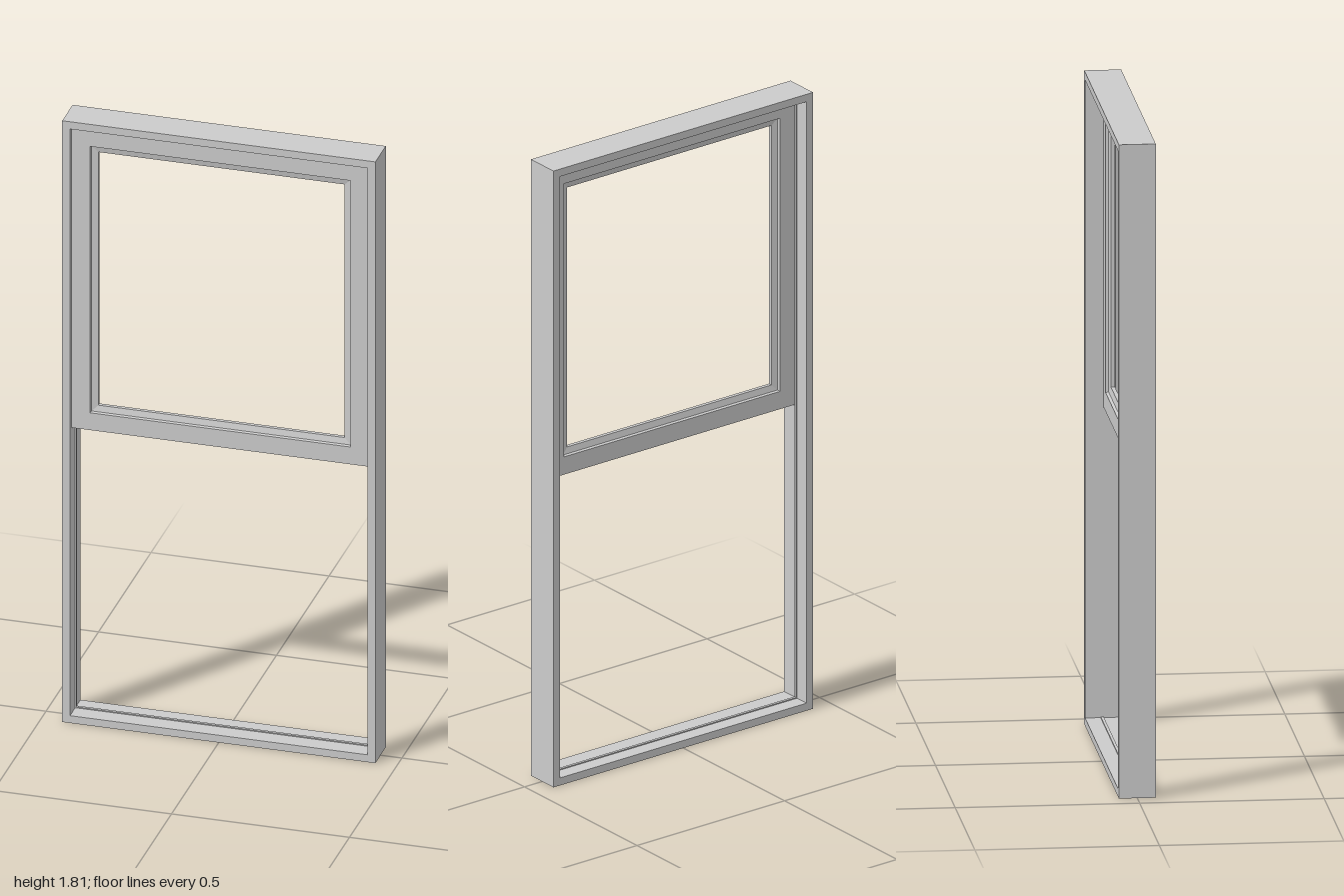
import * as THREE from 'three';

const material = new THREE.MeshStandardMaterial({ color: 0xcccccc });

// Mitred rectangular ring: profile points are [inset from outer edge, z],
// listed outer back -> outer front -> inner front -> inner back.
function mitredRing(name, halfW, y0, y1, profile) {
  const corners = [[1, 0], [1, 1], [-1, 1], [-1, 0]];
  const point = (c, p) => {
    const [sx, top] = corners[c % 4];
    const [d, z] = profile[p % profile.length];
    return [sx * (halfW - d), top ? y1 - d : y0 + d, z];
  };
  const pos = [];
  for (let c = 0; c < 4; c++) {
    for (let p = 0; p < profile.length; p++) {
      const a = point(c, p), b = point(c + 1, p);
      const e = point(c + 1, p + 1), f = point(c, p + 1);
      pos.push(...a, ...b, ...e, ...a, ...e, ...f);
    }
  }
  const geometry = new THREE.BufferGeometry();
  geometry.setAttribute('position', new THREE.Float32BufferAttribute(pos, 3));
  geometry.computeVertexNormals();
  const mesh = new THREE.Mesh(geometry, material);
  mesh.name = name;
  return mesh;
}

export function createModel() {
  const group = new THREE.Group();
  group.name = 'sashWindow';

  // Outer casing with a slim parting stop between the two sash tracks
  group.add(mitredRing('outerFrame', 0.44, 0.11, 1.92, [
    [0, -0.05], [0, 0.05], [0.022, 0.05], [0.022, 0.0],
    [0.025, 0.0], [0.025, -0.008], [0.022, -0.008], [0.022, -0.05],
  ]));

  // Upper sash in the front track, stepping down to the recessed glazing bead
  group.add(mitredRing('upperSash', 0.418, 0.992, 1.898, [
    [0, 0], [0, 0.035], [0.052, 0.035], [0.054, 0.027], [0.072, 0.023],
    [0.072, 0.012], [0.054, 0.008], [0.052, 0],
  ]));

  return group;
}
